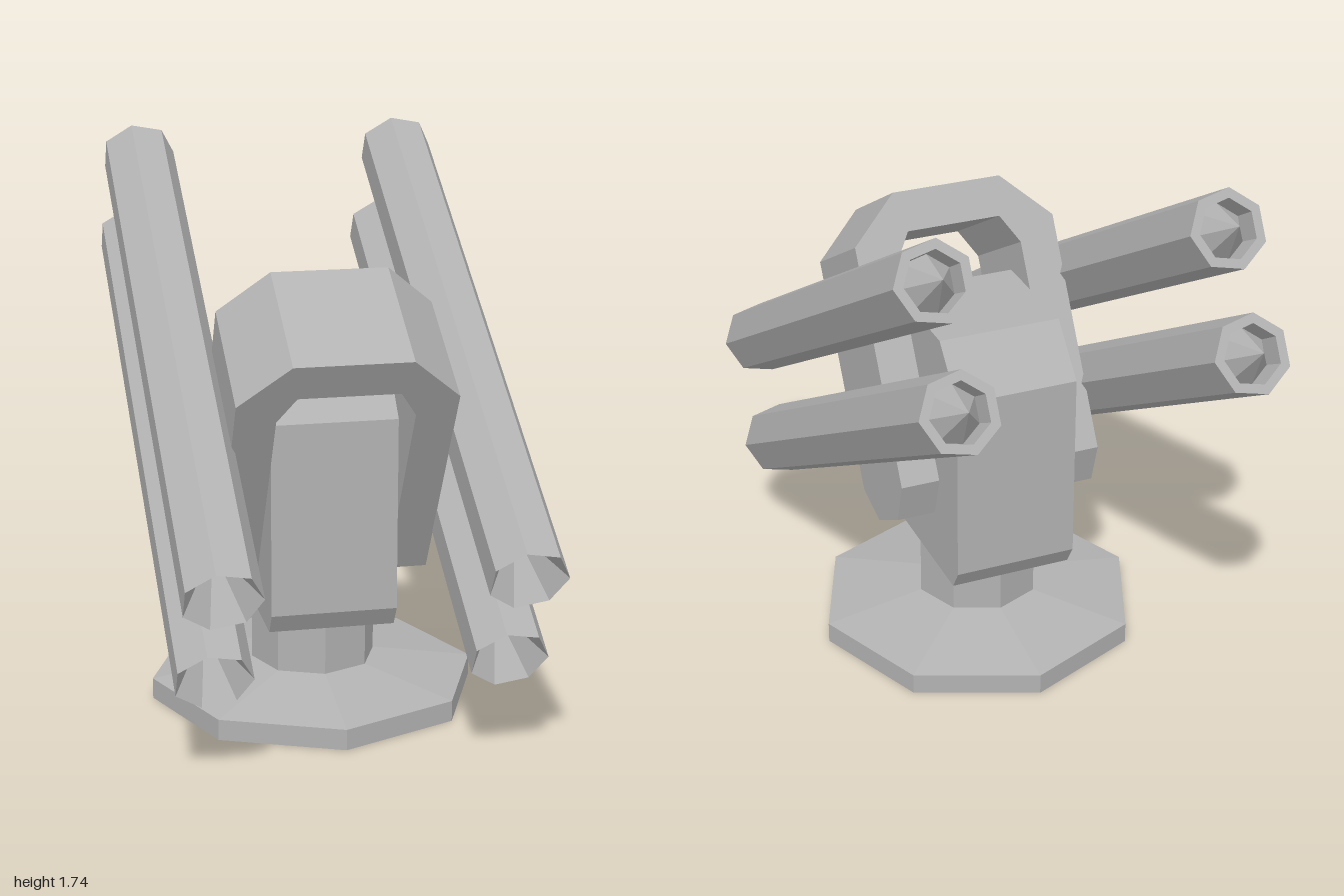
import * as THREE from 'three';

const metal = new THREE.MeshStandardMaterial({ color: 0xb2b2b2 });
metal.name = 'plainGrey';

const vecs = (pts) => pts.map(([x, y]) => new THREE.Vector2(x, y));

// Mesh with one normal per face
function faceted(name, geometry) {
  const g = geometry.index ? geometry.toNonIndexed() : geometry;
  g.computeVertexNormals();
  const mesh = new THREE.Mesh(g, metal);
  mesh.name = name;
  return mesh;
}

// Extrude a (y, z) outline along x between x0 and x1
function slabAlongX(pts, x0, x1) {
  const g = new THREE.ExtrudeGeometry(new THREE.Shape(vecs(pts)), { depth: x1 - x0, bevelEnabled: false });
  g.applyMatrix4(new THREE.Matrix4().makeBasis(
    new THREE.Vector3(0, 1, 0), new THREE.Vector3(0, 0, 1), new THREE.Vector3(1, 0, 0)));
  return g.translate(x0, 0, 0);
}

export function createModel() {
  const model = new THREE.Group();
  model.name = 'turret';

  // Octagonal foot with a recess below, and the neck
  const base = faceted('base', new THREE.LatheGeometry(vecs([
    [0, 0.067], [0.2, 0.067], [0.2, 0], [0.525, 0], [0.525, 0.067], [0.2, 0.12], [0.2, 0.33],
  ]), 8));
  base.position.set(-0.005, 0, 0.017);
  model.add(base);

  // Upright body with chamfered ends
  model.add(faceted('body', slabAlongX([
    [0.31, 0.305], [0.375, 0.345], [0.985, 0.345], [1.135, 0.205],
    [1.135, -0.17], [0.985, -0.31], [0.375, -0.31], [0.31, -0.27],
  ], -0.2, 0.195)));

  // Tilted assembly: local y runs along the tubes, local z is across them
  const cradle = new THREE.Group();
  cradle.name = 'cradle';
  cradle.position.set(-0.005, 0.61, 0.03);
  cradle.rotation.x = -Math.PI / 3;
  model.add(cradle);

  // Arch over the body
  const arch = new THREE.ExtrudeGeometry(new THREE.Shape(vecs([
    [0.335, 0.62], [0.335, 0.69], [0.18, 0.84], [-0.18, 0.84], [-0.335, 0.69], [-0.335, 0.62],
    [-0.21, 0.62], [-0.155, 0.713], [0.155, 0.713], [0.21, 0.62],
  ])), { depth: 0.41, bevelEnabled: false });
  arch.rotateX(Math.PI / 2).translate(0, 0.205, 0);
  cradle.add(faceted('arch', arch));

  // Arch legs with rounded pivot ends
  const legOutline = [
    [-0.205, 0.62], [-0.205, -0.07], [-0.1, -0.17], [0.1, -0.17], [0.205, -0.07], [0.205, 0.62],
  ];
  cradle.add(faceted('leftLeg', slabAlongX(legOutline, 0.21, 0.335)));
  cradle.add(faceted('rightLeg', slabAlongX(legOutline, -0.335, -0.21)));

  // Four seven-sided tubes: conical hollow in front, recessed spike behind
  const length = 1.967;
  const tubeProfile = vecs([
    [0, 0.2], [0.12, 0], [0.12, length], [0.09, length], [0.085, length - 0.08], [0, length + 0.07],
  ]);
  for (const [side, x] of [['left', 0.442], ['right', -0.442]]) {
    for (const [level, z] of [['Lower', 0.142], ['Upper', 0.5]]) {
      const tube = faceted(`${side}${level}Tube`, new THREE.LatheGeometry(tubeProfile, 7, Math.PI / 2));
      tube.position.set(x, -0.767, z);
      cradle.add(tube);
    }
  }

  return model;
}
